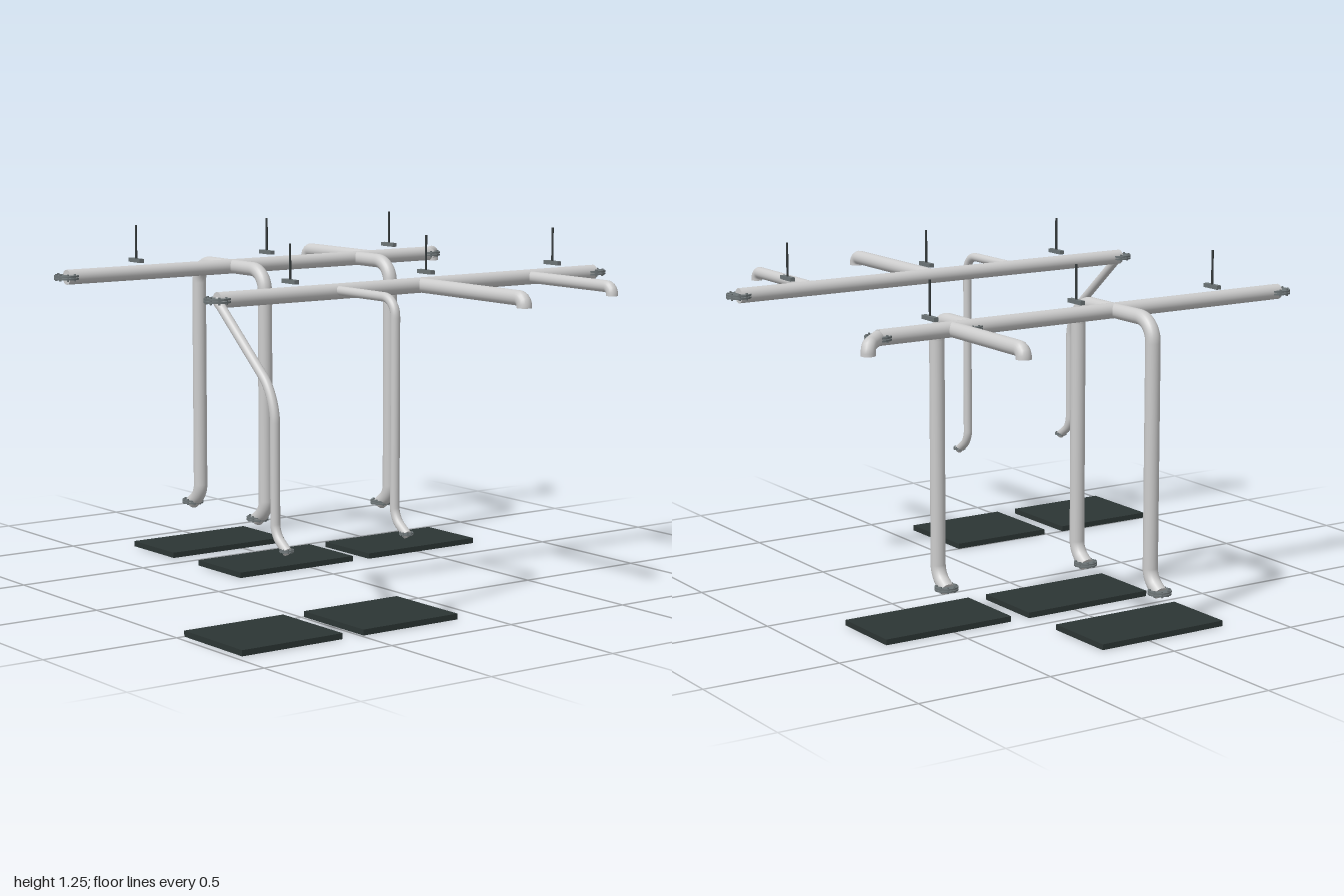
import * as THREE from 'three';

const mat = (name, color, side = THREE.FrontSide) => {
  const m = new THREE.MeshStandardMaterial({ color, side });
  m.name = name;
  return m;
};

export function createModel() {
  const steel = mat('pipe steel', 0xcccccc);
  const iron = mat('flange grey', 0x6c7476);
  const dark = mat('rod dark grey', 0x343a3b);
  const slate = mat('pad slate', 0x2c3534);
  const model = new THREE.Group();
  const PIPE_Y = 1.083;

  const add = (parent, name, geometry, material, x = 0, y = 0, z = 0) => {
    const mesh = new THREE.Mesh(geometry, material);
    mesh.name = name;
    mesh.position.set(x, y, z);
    parent.add(mesh);
    return mesh;
  };

  // Capped pipe along points; each inner point is [x, y, z, bend length]
  const pipe = (name, radius, points) => {
    const group = new THREE.Group();
    group.name = name;
    const v = points.map(p => new THREE.Vector3(p[0], p[1], p[2]));
    const path = new THREE.CurvePath();
    let from = v[0];
    for (let i = 1; i < v.length - 1; i++) {
      const bend = points[i][3];
      const a = v[i].clone().add(v[i - 1].clone().sub(v[i]).setLength(bend));
      const b = v[i].clone().add(v[i + 1].clone().sub(v[i]).setLength(bend));
      path.add(new THREE.LineCurve3(from, a));
      // Cubic handles approximate a circular elbow
      path.add(new THREE.CubicBezierCurve3(a, a.clone().lerp(v[i], 0.55), b.clone().lerp(v[i], 0.55), b));
      from = b;
    }
    path.add(new THREE.LineCurve3(from, v[v.length - 1]));
    const steps = Math.max(4, Math.ceil(path.getLength() / 0.01));
    add(group, name + 'Tube', new THREE.TubeGeometry(path, steps, radius, 20), steel);
    const n = v.length;
    [[v[0], v[1]], [v[n - 1], v[n - 2]]].forEach(([end, inner]) => {
      const cap = add(group, name + 'Cap', new THREE.CircleGeometry(radius, 20), steel, end.x, end.y, end.z);
      cap.lookAt(end.clone().multiplyScalar(2).sub(inner));
    });
    model.add(group);
  };

  // Pair of thin discs held by a ring of bolts
  const flange = (name, radius, x, y, z) => {
    const group = new THREE.Group();
    group.name = name;
    group.position.set(x, y, z);
    const disc = new THREE.CylinderGeometry(radius, radius, radius * 0.14, 28);
    const bolt = new THREE.CylinderGeometry(radius * 0.1, radius * 0.1, radius * 0.55, 6);
    for (const s of [-1, 1]) add(group, 'flangeDisc', disc, iron, 0, s * radius * 0.1, 0);
    for (let i = 0; i < 8; i++) {
      const a = (i + 0.5) * Math.PI / 4;
      add(group, 'flangeBolt', bolt, iron, Math.cos(a) * radius * 0.82, 0, Math.sin(a) * radius * 0.82);
    }
    model.add(group);
  };

  // Overhead main pipes with end flanges and ceiling hangers
  for (const [side, x] of [['right', -0.55], ['left', 0.415]]) {
    pipe(side + 'MainPipe', 0.027, [[x, PIPE_Y, 0.776], [x, PIPE_Y, -0.868]]);
    flange(side + 'FrontFlange', 0.045, x, PIPE_Y, 0.776);
    flange(side + 'BackFlange', 0.045, x, PIPE_Y, -0.868);
    for (const z of [0.483, -0.094, -0.672]) {
      add(model, side + 'HangerPlate', new THREE.BoxGeometry(0.076, 0.014, 0.018), iron, x, 1.128, z);
      add(model, side + 'HangerRod', new THREE.CylinderGeometry(0.004, 0.004, 0.13, 10), dark, x, 1.19, z);
    }
  }

  // Side branches ending in a short downward elbow
  const branch = (name, radius, x0, x1, z) => {
    const end = x1 - Math.sign(x1 - x0) * radius;
    pipe(name, radius, [[x0, PIPE_Y, z], [end, PIPE_Y, z, 0.026], [end, 1.052, z]]);
  };
  branch('rightBranch', 0.026, -0.55, -1.0, -0.588);
  branch('leftLongBranch', 0.026, 0.415, 0.995, -0.07);
  branch('leftShortBranch', 0.021, 0.415, 0.875, -0.563);
  pipe('rightBackElbow', 0.024, [[-0.55, PIPE_Y, -0.868], [-0.635, 1.08, -0.955, 0.022], [-0.635, 1.046, -0.955]]);

  // Large drop pipes on the right, feet turned outward
  const foot = (x, z) => [[x, 0.19, z, 0.035], [x - 0.057, 0.15, z]];
  const rightLeg = -0.337, otherLeg = -0.775;
  pipe('doubleDropPipe', 0.026, [
    ...foot(otherLeg, 0.063).reverse(),
    [otherLeg, PIPE_Y, 0.063, 0.075], [rightLeg, PIPE_Y, 0.063, 0.075],
    ...foot(rightLeg, 0.063)
  ]);
  pipe('singleDropPipe', 0.026, [
    [-0.55, PIPE_Y, -0.515], [rightLeg, PIPE_Y, -0.515, 0.075], ...foot(rightLeg, -0.515)
  ]);
  flange('dropFlange', 0.041, otherLeg - 0.055, 0.154, 0.063);
  flange('dropFlange', 0.041, rightLeg - 0.053, 0.154, 0.063);
  flange('dropFlange', 0.041, rightLeg - 0.053, 0.154, -0.515);
  flange('branchFlange', 0.037, -0.555, PIPE_Y, -0.515);

  // Slim drop pipes on the left: one square, one diagonal
  const slimFoot = z => [[0.743, 0.355, z, 0.035], [0.81, 0.308, z]];
  pipe('slimDropPipe', 0.016, [
    [0.415, 1.087, 0.292], [0.743, 1.087, 0.292, 0.06], ...slimFoot(0.292)
  ]);
  pipe('diagonalDropPipe', 0.016, [
    [0.415, PIPE_Y, 0.776], [0.743, 0.805, 0.776, 0.085], ...slimFoot(0.776)
  ]);
  for (const z of [0.292, 0.776]) flange('slimFlange', 0.024, 0.806, 0.312, z);

  // Floor pads: x range, z range
  for (const [x0, x1, z0, z1] of [
    [-0.86, -0.583, -0.193, 0.312], [-0.416, -0.14, -0.193, 0.312], [-0.416, -0.14, -0.77, -0.268],
    [0.5, 0.835, 0.095, 0.49], [0.5, 0.835, 0.575, 0.97]
  ]) {
    add(model, 'floorPad', new THREE.BoxGeometry(x1 - x0, 0.02, z1 - z0), slate, (x0 + x1) / 2, 0.01, (z0 + z1) / 2);
  }
  return model;
}
